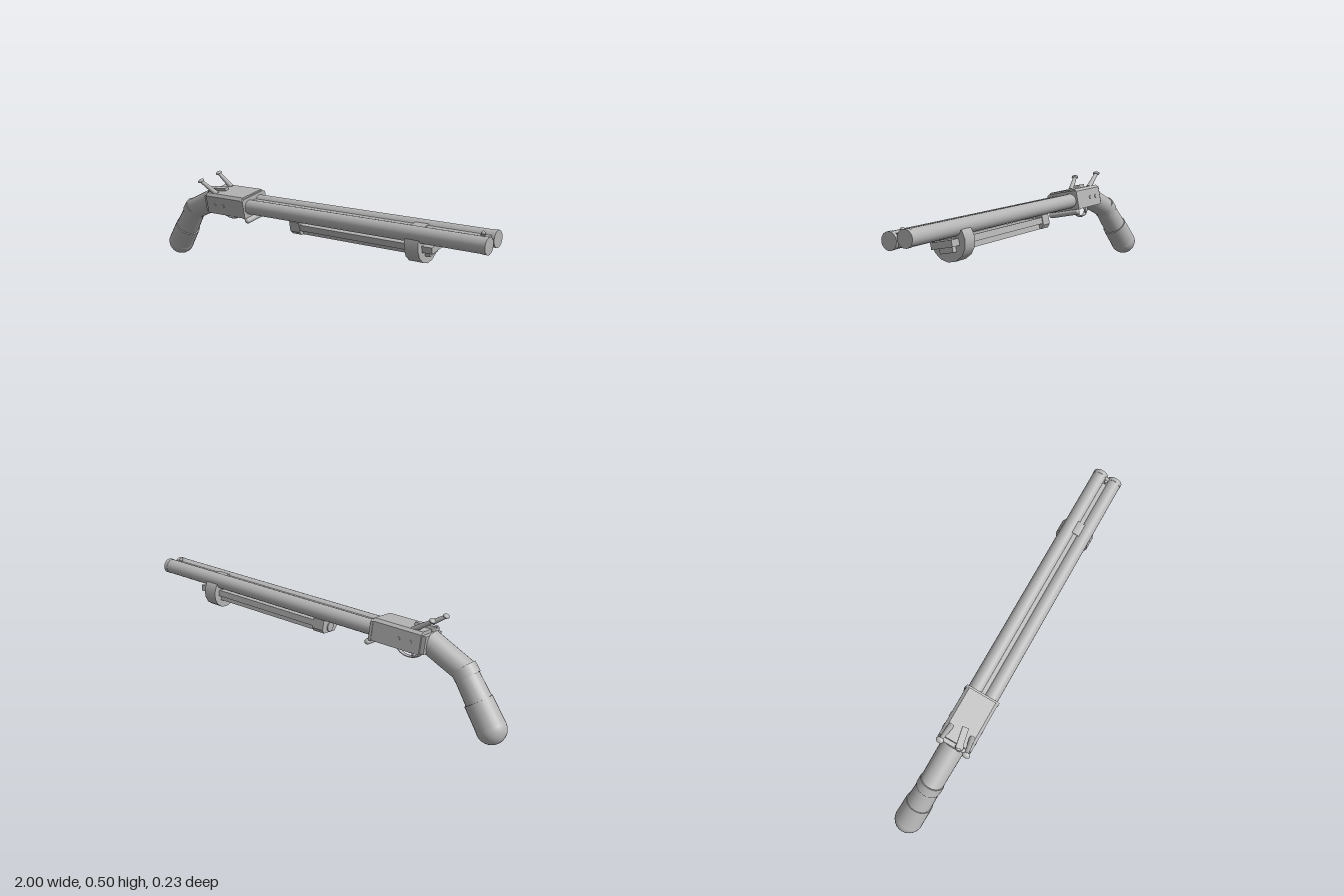
import * as THREE from 'three';

export function createModel() {
  const steel = new THREE.MeshStandardMaterial({ color: 0xb4b4b4 });
  steel.name = 'plain grey';
  const model = new THREE.Group();
  model.name = 'doubleBarrelGun';

  // Local frame: x along the barrels, y up, z across; the whole gun is rolled a little
  const gun = new THREE.Group();
  gun.name = 'gun';
  gun.position.set(0, 0.36, 0.014);
  gun.rotation.x = 0.2;
  model.add(gun);

  const add = (name, geometry, x = 0, y = 0, z = 0) => {
    const mesh = new THREE.Mesh(geometry, steel);
    mesh.name = name;
    mesh.position.set(x, y, z);
    gun.add(mesh);
    return mesh;
  };
  const box = (name, x0, x1, y0, y1, z0, z1) =>
    add(name, new THREE.BoxGeometry(x1 - x0, y1 - y0, z1 - z0), (x0 + x1) / 2, (y0 + y1) / 2, (z0 + z1) / 2);
  // Cylinder or cone running from point a to point b
  const rod = (name, a, b, ra, rb = ra, sides = 24) => {
    const p = new THREE.Vector3(...a), q = new THREE.Vector3(...b);
    const mesh = add(name, new THREE.CylinderGeometry(rb, ra, p.distanceTo(q), sides));
    mesh.position.copy(p).lerp(q, 0.5);
    mesh.quaternion.setFromUnitVectors(new THREE.Vector3(0, 1, 0), q.sub(p).normalize());
    return mesh;
  };
  // Chamfered block extruded along x
  const block = (name, x0, x1, halfWidth, bottom, shoulder, top) => {
    const s = new THREE.Shape();
    const t = halfWidth - 0.014;
    s.moveTo(-halfWidth, bottom);
    s.lineTo(halfWidth, bottom);
    s.lineTo(halfWidth, shoulder);
    s.lineTo(t, top);
    s.lineTo(-t, top);
    s.lineTo(-halfWidth, shoulder);
    s.closePath();
    const g = new THREE.ExtrudeGeometry(s, { depth: x1 - x0, bevelEnabled: false });
    g.rotateY(Math.PI / 2);
    return add(name, g, x0, 0, 0);
  };

  // Barrels with muzzle rings, joined by a rib carrying the bead sight
  for (const side of [1, -1]) {
    const z = side * 0.04;
    rod('barrel', [-0.33, 0, z], [0.995, 0, z], 0.0365, 0.0365, 20);
    rod('muzzleRing', [0.98, 0, z], [1, 0, z], 0.038, 0.038, 20);
  }
  box('rib', -0.32, 0.985, -0.03, 0.026, -0.01, 0.01);
  add('beadSight', new THREE.SphereGeometry(0.009, 12, 8), 0.955, 0.036, 0);
  box('beadBase', 0.945, 0.965, 0.02, 0.032, -0.005, 0.005);

  // Receiver with rear step and front flange
  block('receiver', -0.572, -0.322, 0.083, -0.048, 0.044, 0.057);
  block('frontFlange', -0.326, -0.312, 0.086, -0.05, 0.042, 0.05);
  box('receiverRear', -0.592, -0.57, -0.042, 0.04, -0.074, 0.074);
  for (const side of [1, -1]) {
    for (const x of [-0.52, -0.46]) {
      const screw = rod('sideScrew', [x, 0, side * 0.08], [x, 0, side * 0.086], 0.009, 0.009, 10);
      screw.scale.x = 1.3;
    }
  }

  // Hinge pin below the front of the receiver
  const pin = add('hingePin', new THREE.CapsuleGeometry(0.014, 0.15, 6, 14), -0.305, -0.06, 0);
  pin.rotation.x = Math.PI / 2;

  // Trigger guard and two triggers
  const guard = add('triggerGuard', new THREE.TorusGeometry(0.066, 0.007, 8, 24, Math.PI), -0.484, -0.046, 0);
  guard.rotation.z = Math.PI;
  guard.scale.set(1, 0.72, 1.6);
  for (const [x, z] of [[-0.47, 0.014], [-0.5, -0.014]])
    rod('trigger', [x, -0.045, z], [x - 0.012, -0.083, z], 0.007, 0.004, 8);

  // Hammers with wide thumb pieces
  for (const side of [1, -1]) {
    rod('hammerStem', [-0.515, 0.05, side * 0.055], [-0.607, 0.115, side * 0.066], 0.014, 0.009, 12);
    const head = add('hammerThumbPiece', new THREE.SphereGeometry(0.019, 16, 10), -0.606, 0.116, side * 0.066);
    head.scale.set(0.75, 0.5, 1);
    head.rotation.z = 0.5;
  }

  // Opening lever on top
  const lever = add('topLever', new THREE.BoxGeometry(0.1, 0.018, 0.03), -0.54, 0.062, 0.016);
  lever.rotation.set(0, 0.2, 0);
  rod('leverPivot', [-0.58, 0.045, 0.026], [-0.58, 0.066, 0.026], 0.02, 0.018, 12);

  // Under-barrel rail, rear block and round front grip
  box('railPlate', -0.01, 0.74, -0.075, -0.045, -0.055, 0.055);
  box('railCore', 0.0, 0.715, -0.1, -0.07, -0.034, 0.034);
  const end = block('railRearBlock', -0.045, 0.015, 0.058, 0.034, 0.083, 0.1);
  end.scale.y = -1;
  end.geometry.scale(1, -1, 1);
  end.scale.y = 1;
  end.geometry.index === null && flip(end.geometry);
  rod('railStop', [-0.05, -0.072, 0], [-0.02, -0.072, 0], 0.025, 0.025, 12);
  rod('frontGrip', [0.62, -0.055, 0], [0.69, -0.055, 0], 0.087, 0.087, 14);

  // Bent pistol grip: neck, collar, handle, sleeve and round end
  rod('gripNeck', [-0.575, 0.004, 0], [-0.765, -0.08, 0], 0.058, 0.056);
  add('gripElbow', new THREE.SphereGeometry(0.057, 24, 16), -0.763, -0.08, 0);
  rod('gripCollar', [-0.752, -0.066, 0], [-0.785, -0.103, 0], 0.06, 0.06, 12);
  rod('gripHandle', [-0.763, -0.08, 0], [-0.87, -0.215, 0], 0.056, 0.062);
  rod('gripSleeve', [-0.85, -0.192, 0], [-0.931, -0.296, 0], 0.066, 0.068);
  add('gripEnd', new THREE.SphereGeometry(0.069, 24, 16), -0.931, -0.297, 0);

  return model;
}

// Reverses the corner order after a mirrored scale and refreshes the normals
function flip(geometry) {
  const p = geometry.attributes.position;
  const a = new THREE.Vector3(), b = new THREE.Vector3();
  for (let i = 0; i < p.count; i += 3) {
    a.fromBufferAttribute(p, i + 1);
    b.fromBufferAttribute(p, i + 2);
    p.setXYZ(i + 1, b.x, b.y, b.z);
    p.setXYZ(i + 2, a.x, a.y, a.z);
  }
  geometry.computeVertexNormals();
}
